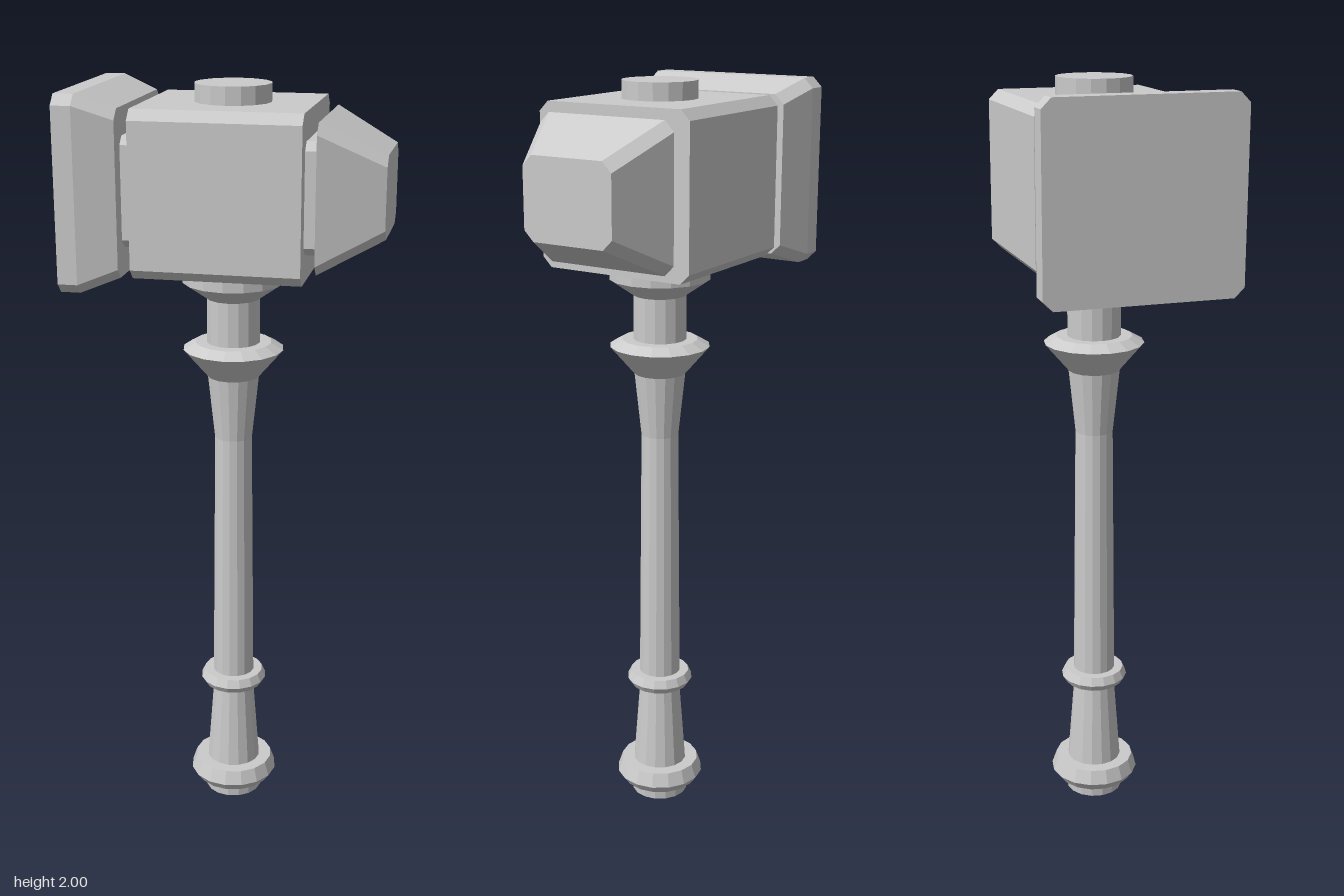
import * as THREE from 'three';

const material = new THREE.MeshStandardMaterial({ color: 0xcccccc, flatShading: true });
const HEAD_Y = 1.75;
const AXIS_X = -0.006;

// Loft of chamfered rectangles along x; each section is [x, halfHeight, halfDepth, chamfer]
function chamferedLoft(name, sections) {
  const positions = [];
  const index = [];
  for (const [x, h, d, c] of sections) {
    const ring = [
      [h, d - c], [h - c, d], [c - h, d], [-h, d - c],
      [-h, c - d], [c - h, -d], [h - c, -d], [h, c - d],
    ];
    for (const [y, z] of ring) positions.push(x, y, z);
  }
  for (let s = 0; s < sections.length - 1; s++) {
    for (let i = 0; i < 8; i++) {
      const j = (i + 1) % 8;
      const a = s * 8 + i, b = s * 8 + j;
      index.push(a, b, a + 8, b, b + 8, a + 8);
    }
  }
  // end caps
  const last = (sections.length - 1) * 8;
  for (let i = 1; i < 7; i++) {
    index.push(0, i + 1, i);
    index.push(last, last + i, last + i + 1);
  }
  const indexed = new THREE.BufferGeometry();
  indexed.setAttribute('position', new THREE.Float32BufferAttribute(positions, 3));
  indexed.setIndex(index);
  const geometry = indexed.toNonIndexed();
  geometry.computeVertexNormals();
  const mesh = new THREE.Mesh(geometry, material);
  mesh.name = name;
  mesh.position.y = HEAD_Y;
  return mesh;
}

// Sixteen-sided turned part from [radius, y] pairs, bottom to top
function turned(name, profile) {
  const points = profile.map(([r, y]) => new THREE.Vector2(r, y));
  const mesh = new THREE.Mesh(new THREE.LatheGeometry(points, 16), material);
  mesh.name = name;
  mesh.position.x = AXIS_X;
  return mesh;
}

export function createModel() {
  const model = new THREE.Group();
  model.name = 'warHammer';

  // Head: flared striking face, core block, tapered face and the recessed necks between
  const head = new THREE.Group();
  head.name = 'head';
  head.add(
    chamferedLoft('flaredFace', [
      [-0.395, 0.24, 0.25, 0.025],
      [-0.345, 0.24, 0.25, 0.025],
      [-0.25, 0.205, 0.217, 0.025],
    ]),
    chamferedLoft('coreBlock', [
      [-0.22, 0.205, 0.216, 0.025],
      [0.202, 0.205, 0.216, 0.025],
    ]),
    chamferedLoft('taperedFace', [
      [0.232, 0.182, 0.192, 0.026],
      [0.392, 0.102, 0.126, 0.026],
    ]),
    chamferedLoft('leftNeck', [[0.202, 0.136, 0.173, 0.02], [0.232, 0.136, 0.173, 0.02]]),
    chamferedLoft('rightNeck', [[-0.25, 0.136, 0.173, 0.02], [-0.22, 0.136, 0.173, 0.02]]),
  );
  model.add(head);

  // Peg showing through the top of the head
  model.add(turned('topPeg', [[0.097, 1.95], [0.097, 2], [0, 2]]));

  // Handle with its pommel, grip ring, guard collar and socket
  const handle = new THREE.Group();
  handle.name = 'handle';
  handle.add(
    turned('pommel', [
      [0, 0], [0.078, 0], [0.08, 0.037], [0.103, 0.037],
      [0.121, 0.062], [0.108, 0.1], [0.074, 0.1],
    ]),
    turned('grip', [[0.074, 0.1], [0.056, 0.34]]),
    turned('gripRing', [
      [0.056, 0.34], [0.08, 0.34], [0.091, 0.358], [0.081, 0.38], [0.057, 0.38],
    ]),
    turned('shaft', [[0.057, 0.38], [0.05, 1.08], [0.068, 1.25]]),
    turned('collar', [[0.068, 1.25], [0.132, 1.325], [0.1, 1.343], [0.07, 1.343]]),
    turned('upperShaft', [[0.07, 1.343], [0.07, 1.46]]),
    turned('socket', [[0.07, 1.46], [0.132, 1.503], [0.132, 1.55]]),
  );
  model.add(handle);

  return model;
}
